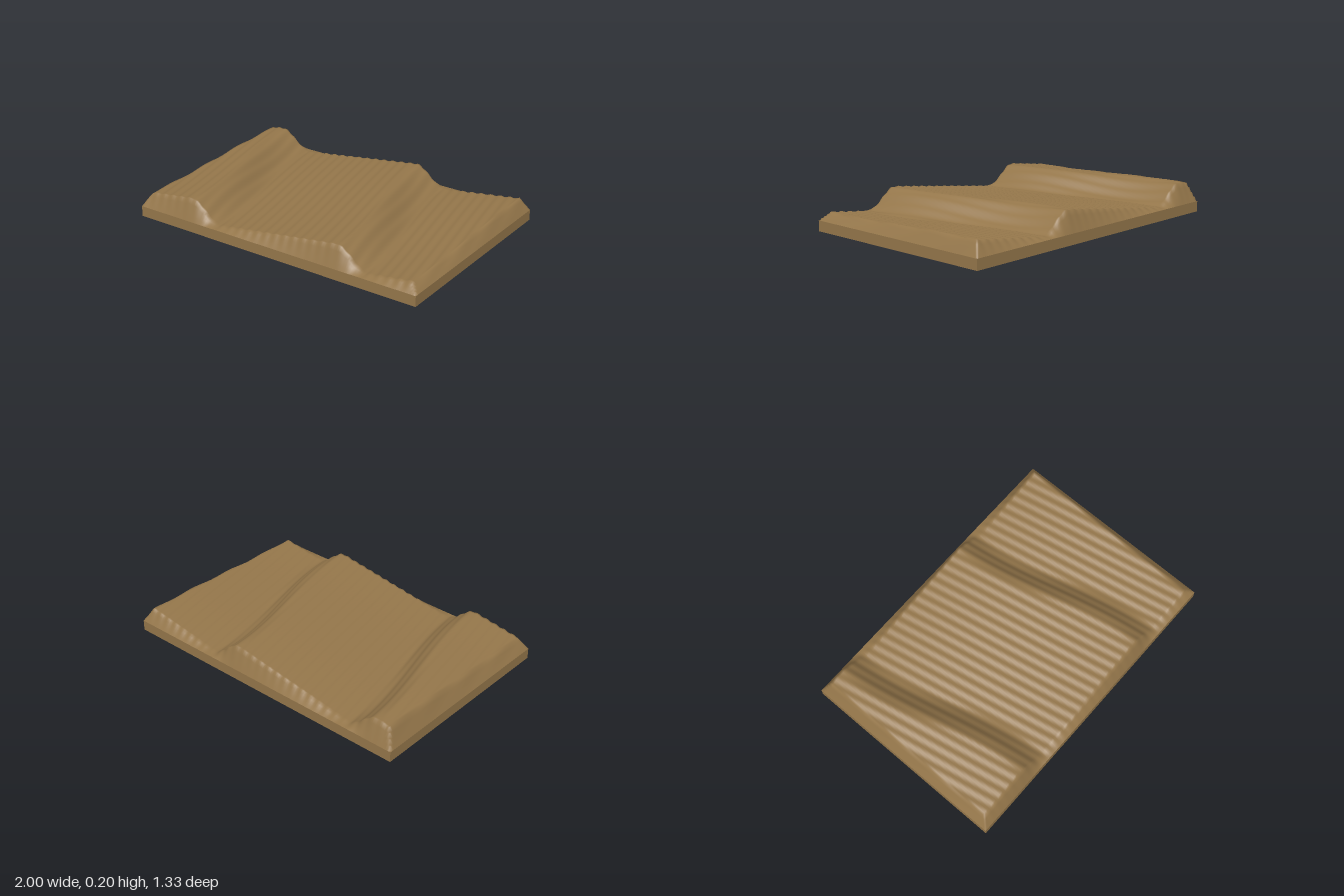
import * as THREE from 'three';

const WIDTH = 2, DEPTH = 1.333, BASE = 0.067;
const PERIOD = 1.067, SLIP = 0.21, RIM = 0.05;

// Dune height: long windward rise, short slip face, fine wind ripples
function duneHeight(x, z) {
  const u = x + 0.535 - 0.118 * Math.sin(2.8 * z);
  const t = u - Math.floor(u / PERIOD) * PERIOD;
  const rise = PERIOD - SLIP;
  const k = t < rise ? t / rise : 1 - THREE.MathUtils.smoothstep(t, rise, PERIOD);
  const ripple = 0.004 * Math.sin((x - 0.2 * z) * Math.PI * 2 / 0.066);
  return 0.075 + 0.124 * k + ripple;
}

export function createModel() {
  const group = new THREE.Group();
  group.name = 'duneTile';
  const sand = new THREE.MeshStandardMaterial({ color: 0x94764a });
  sand.name = 'sand';

  // Flat slab under the sand
  const slab = new THREE.Mesh(new THREE.BoxGeometry(WIDTH, BASE, DEPTH), sand);
  slab.position.y = BASE / 2;
  slab.name = 'slab';
  group.add(slab);

  // Rippled surface, bevelled down to the slab around the rim
  const geometry = new THREE.PlaneGeometry(WIDTH, DEPTH, 160, 106).rotateX(-Math.PI / 2);
  const p = geometry.attributes.position;
  for (let i = 0; i < p.count; i++) {
    const x = p.getX(i), z = p.getZ(i);
    const edge = Math.min(WIDTH / 2 - Math.abs(x), DEPTH / 2 - Math.abs(z));
    const blend = THREE.MathUtils.clamp(edge / RIM, 0, 1);
    p.setY(i, BASE + (duneHeight(x, z) - BASE) * blend);
  }
  geometry.computeVertexNormals();
  const dunes = new THREE.Mesh(geometry, sand);
  dunes.name = 'dunes';
  group.add(dunes);

  return group;
}
